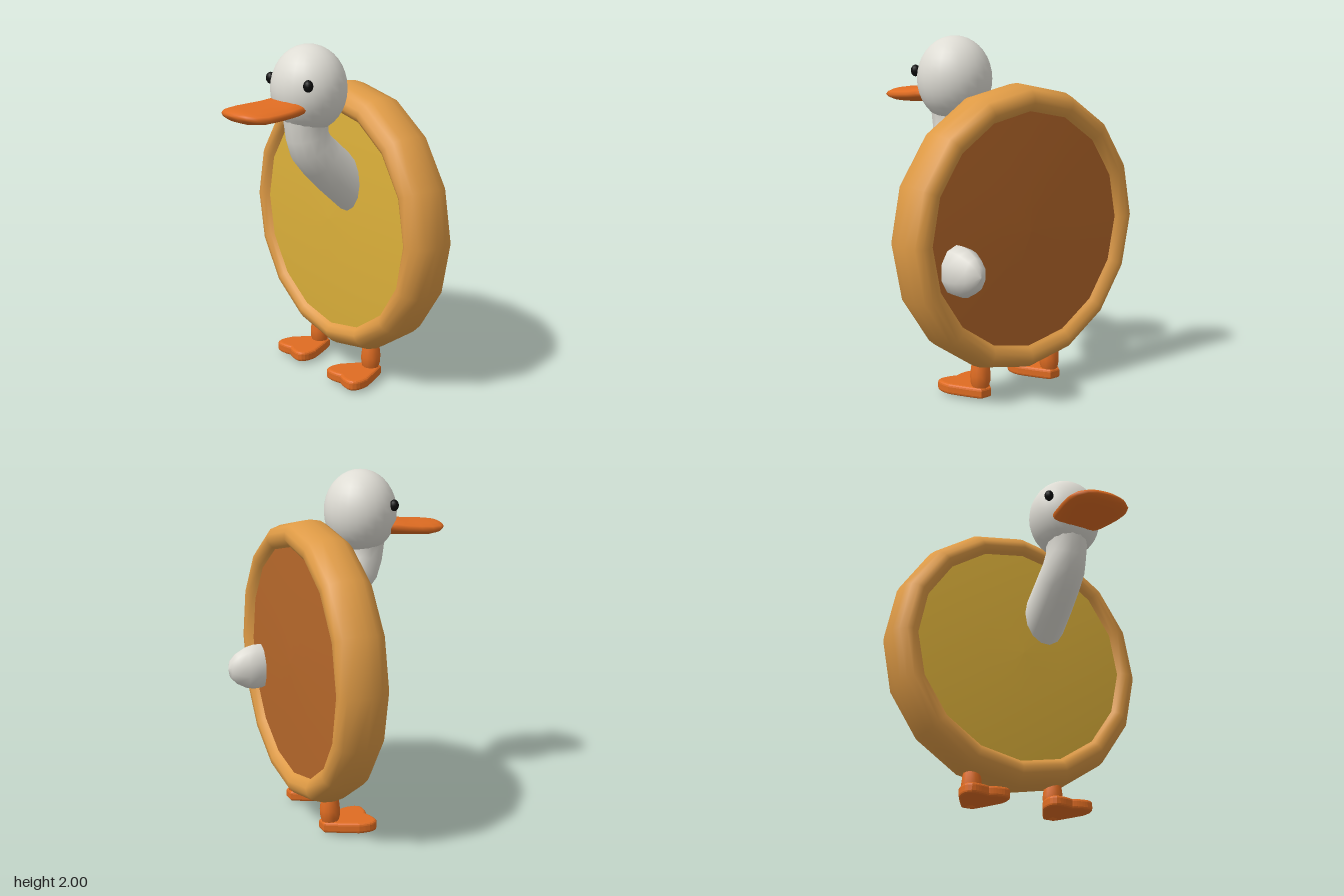
import * as THREE from 'three';

const mat = (name, color) => {
  const m = new THREE.MeshStandardMaterial({ color });
  m.name = name;
  return m;
};
const V = (x, y) => new THREE.Vector2(x, y);
const pts = (list) => list.map(([x, y]) => V(x, y));

// Closed, smooth loft through elliptical rings: { c: Vector3, u: Vector3, v: Vector3 }
function loft(rings, seg) {
  const pos = [], idx = [];
  for (const { c, u, v } of rings) {
    for (let i = 0; i < seg; i++) {
      const a = (i / seg) * Math.PI * 2;
      const p = c.clone().addScaledVector(u, Math.cos(a)).addScaledVector(v, Math.sin(a));
      pos.push(p.x, p.y, p.z);
    }
  }
  for (let j = 0; j < rings.length - 1; j++) {
    for (let i = 0; i < seg; i++) {
      const a = j * seg + i, b = j * seg + (i + 1) % seg;
      idx.push(a, b, b + seg, a, b + seg, a + seg);
    }
  }
  const g = new THREE.BufferGeometry();
  g.setAttribute('position', new THREE.Float32BufferAttribute(pos, 3));
  g.setIndex(idx);
  g.computeVertexNormals();
  return g;
}

export function createModel() {
  const root = new THREE.Group();
  const white = mat('white', 0xdedcd4);
  const crust = mat('crust tan', 0xde9a45);
  const yellow = mat('filling yellow', 0xdcb03a);
  const brown = mat('base brown', 0xb5672a);
  const orange = mat('orange', 0xdf6c22);
  const black = mat('black', 0x0c0c0c);

  const add = (name, geo, material, x = 0, y = 0, z = 0, parent = root) => {
    const m = new THREE.Mesh(geo, material);
    m.name = name;
    m.position.set(x, y, z);
    parent.add(m);
    return m;
  };

  // Upright round body: 16-sided crust ring with a front and a back face
  const disc = (list) => new THREE.LatheGeometry(pts(list), 16).rotateX(Math.PI / 2);
  const body = new THREE.Group();
  body.name = 'body';
  body.position.set(0, 0.945, -0.27);
  root.add(body);
  add('crustRing', disc([
    [0.64, -0.09], [0.67, -0.13], [0.705, -0.155], [0.745, -0.152], [0.778, -0.125], [0.8, -0.06],
    [0.805, 0], [0.795, 0.06], [0.77, 0.1], [0.735, 0.13], [0.7, 0.138], [0.67, 0.12], [0.64, 0.08],
  ]), crust, 0, 0, 0, body);
  add('frontFilling', disc([[0.68, 0.1], [0.5, 0.113], [0.25, 0.122], [0, 0.126]]), yellow, 0, 0, 0, body);
  add('backBase', disc([[0, -0.132], [0.35, -0.128], [0.68, -0.115]]), brown, 0, 0, 0, body);

  // Head
  const hx = 0.145;
  const head = add('head', new THREE.SphereGeometry(1, 24, 18), white, hx, 1.76, 0.1);
  head.scale.set(0.215, 0.24, 0.21);

  // Neck: rings [y, z, radius] along a bent path
  const neck = [[1.1, -0.27, 0.135], [1.18, -0.18, 0.135], [1.275, -0.07, 0.133], [1.36, 0.02, 0.13],
    [1.43, 0.085, 0.126], [1.5, 0.112, 0.12], [1.57, 0.12, 0.122], [1.66, 0.12, 0.14]];
  const path = new THREE.CatmullRomCurve3(neck.map(([y, z]) => new THREE.Vector3(hx, y, z)));
  const side = new THREE.Vector3(1, 0, 0);
  add('neck', loft(neck.map(([y, z, r], i) => {
    const t = path.getTangent(i / (neck.length - 1));
    return {
      c: new THREE.Vector3(hx, y, z),
      u: side.clone().multiplyScalar(r),
      v: t.clone().cross(side).multiplyScalar(r),
    };
  }), 14), white);

  // Beak: rings [z, y, half width, half height], flat and wide toward the tip
  const beak = [[0.2, 1.675, 0.14, 0.045], [0.26, 1.672, 0.165, 0.05], [0.33, 1.663, 0.178, 0.046],
    [0.41, 1.657, 0.19, 0.045], [0.48, 1.653, 0.193, 0.044], [0.54, 1.654, 0.172, 0.038],
    [0.58, 1.658, 0.125, 0.029], [0.598, 1.66, 0.07, 0.016], [0.602, 1.66, 0, 0]];
  add('beak', loft(beak.map(([z, y, w, h]) => ({
    c: new THREE.Vector3(hx, y, z),
    u: new THREE.Vector3(w, 0, 0),
    v: new THREE.Vector3(0, h, 0),
  })), 16), orange);

  // Tail: tapered egg shape behind the body
  const tail = new THREE.LatheGeometry(pts([
    [0.085, -0.3], [0.1, -0.38], [0.102, -0.44], [0.094, -0.49], [0.07, -0.55], [0.04, -0.588], [0, -0.602],
  ].map(([r, z]) => [r, -z])), 10).rotateX(-Math.PI / 2).scale(1, 1.36, 1);
  add('tail', tail, white, 0.51, 0.8, 0);

  // Webbed foot outline (x, -z) with a scalloped front edge
  const foot = new THREE.Shape();
  foot.moveTo(-0.025, -0.135);
  foot.lineTo(0.025, -0.135);
  foot.quadraticCurveTo(0.06, -0.08, 0.115, 0.03);
  foot.quadraticCurveTo(0.135, 0.13, 0.085, 0.128);
  foot.quadraticCurveTo(0.04, 0.128, 0, 0.108);
  foot.quadraticCurveTo(-0.04, 0.128, -0.085, 0.128);
  foot.quadraticCurveTo(-0.135, 0.13, -0.115, 0.03);
  foot.quadraticCurveTo(-0.06, -0.08, -0.025, -0.135);
  const footGeo = new THREE.ExtrudeGeometry(foot, {
    depth: 0.03, bevelEnabled: true, bevelThickness: 0.016, bevelSize: 0.018, bevelSegments: 3, curveSegments: 6,
  }).rotateX(Math.PI / 2).scale(1, 1, 1);
  const legGeo = new THREE.LatheGeometry(pts([
    [0, 0], [0.022, 0.012], [0.042, 0.05], [0.056, 0.1], [0.058, 0.14], [0.052, 0.19], [0.04, 0.25],
  ]), 12);

  // Eyes, legs and feet on both sides
  for (const s of [1, -1]) {
    const tag = s > 0 ? 'left' : 'right';
    const eye = add(tag + 'Eye', new THREE.SphereGeometry(0.027, 14, 10), black, hx + s * 0.177, 1.805, 0.23);
    eye.scale.y = 1.22;
    add(tag + 'Leg', legGeo, orange, s * 0.257, 0, -0.272);
    add(tag + 'Foot', footGeo, orange, s * 0.257, 0.06, -0.172);
  }
  return root;
}
